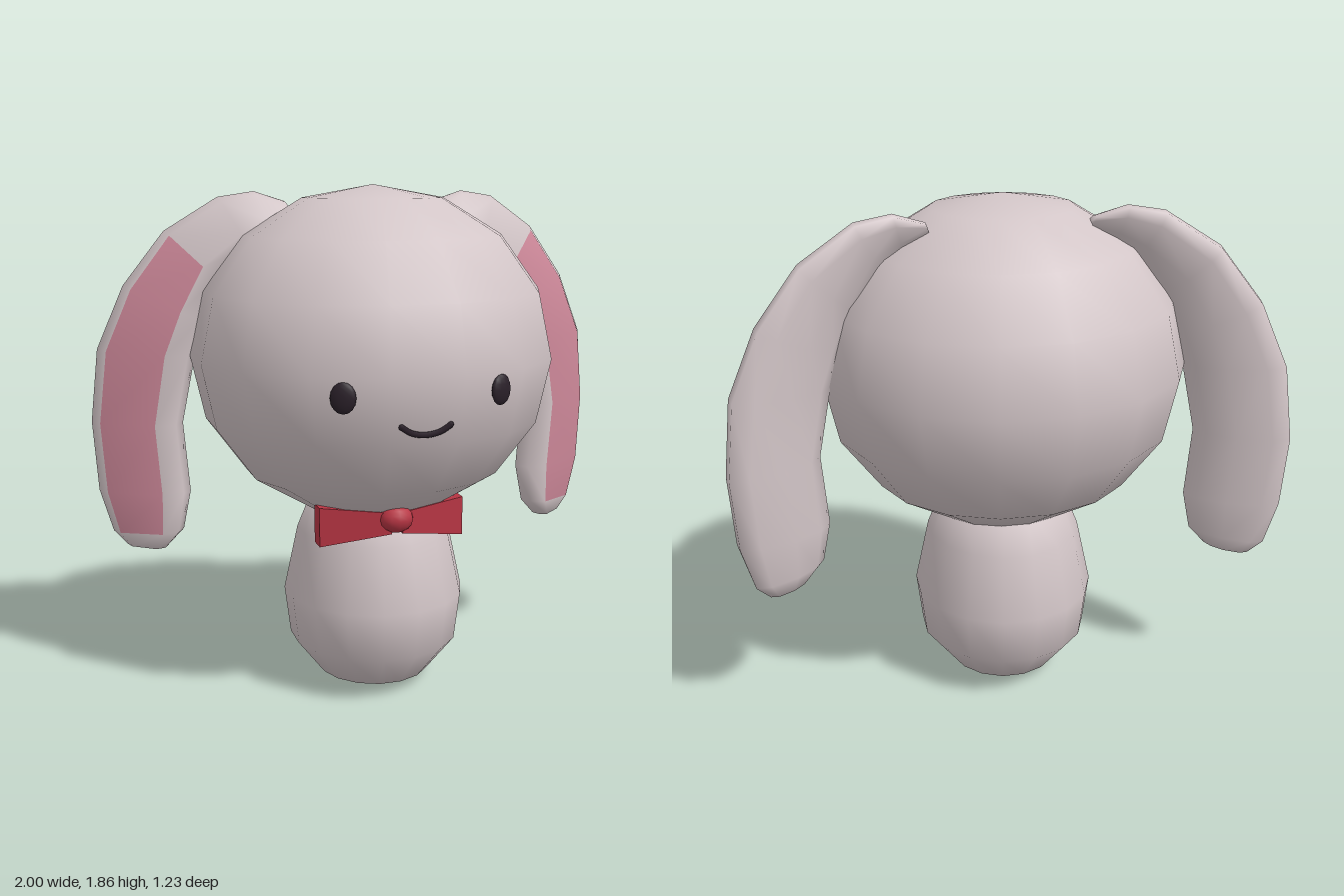
import * as THREE from 'three';

const mat = (name, color) => {
  const m = new THREE.MeshStandardMaterial({ color });
  m.name = name;
  return m;
};

// Ear: one cross-section (u across from inner to outer edge, w front/back)
// swept through rows of [outerX, outerY, innerX, innerY, zCentre, zHalf].
const EAR_SECTION = [
  [-1, 0.5], [-0.8, 0.92], [-0.31, 1], [0.84, -0.03], [1, -0.5],
  [0.93, -0.95], [0.5, -1], [-0.25, -0.6], [-0.8, 0],
];
const EAR_ROWS = [
  [0.29, 1.8, 0.27, 1.74, -0.13, 0.05],
  [0.4, 1.835, 0.36, 1.68, -0.13, 0.07],
  [0.53, 1.815, 0.43, 1.62, -0.14, 0.08],
  [0.72, 1.695, 0.54, 1.51, -0.18, 0.09],
  [0.87, 1.5, 0.59, 1.37, -0.2, 0.107],
  [0.97, 1.27, 0.63, 1.25, -0.217, 0.113],
  [1.0, 1.0, 0.68, 1.0, -0.232, 0.117],
  [0.985, 0.74, 0.66, 0.74, -0.226, 0.112],
  [0.94, 0.58, 0.69, 0.595, -0.222, 0.1],
  [0.89, 0.525, 0.75, 0.53, -0.22, 0.07],
];
const PINK_SIDE = 2, PINK_FROM = 3, PINK_TO = 8;

function earGeometry(side) {
  const n = EAR_SECTION.length, rows = EAR_ROWS.length;
  const pos = [], fur = [], pink = [];
  for (const [ox, oy, ix, iy, zc, zh] of EAR_ROWS) {
    for (const [u, w] of EAR_SECTION) {
      const t = (u + 1) / 2;
      pos.push(side * (ix + (ox - ix) * t), iy + (oy - iy) * t, zc + zh * w);
    }
  }
  const tri = (list, a, b, c) => (side > 0 ? list.push(a, b, c) : list.push(a, c, b));
  for (let i = 0; i < rows - 1; i++) {
    for (let j = 0; j < n; j++) {
      const list = j === PINK_SIDE && i >= PINK_FROM && i < PINK_TO ? pink : fur;
      const k = (j + 1) % n;
      const a = i * n + j, b = i * n + k, c = b + n, d = a + n;
      tri(list, a, d, c);
      tri(list, a, c, b);
    }
  }
  // end caps as fans
  for (const [row, flip] of [[0, false], [rows - 1, true]]) {
    const [ox, oy, ix, iy, zc] = EAR_ROWS[row];
    const centre = pos.length / 3;
    pos.push(side * (ox + ix) / 2, (oy + iy) / 2 - (flip ? 0.01 : 0), zc);
    for (let j = 0; j < n; j++) {
      const a = row * n + j, b = row * n + ((j + 1) % n);
      if (flip) tri(fur, centre, b, a);
      else tri(fur, centre, a, b);
    }
  }
  const g = new THREE.BufferGeometry();
  g.setAttribute('position', new THREE.Float32BufferAttribute(pos, 3));
  g.setIndex([...fur, ...pink]);
  g.addGroup(0, fur.length, 0);
  g.addGroup(fur.length, pink.length, 1);
  g.computeVertexNormals();
  return g;
}

// Bow wing: a box flaring outwards and curving back around the neck.
function bowWingGeometry(side) {
  const g = new THREE.BoxGeometry(1, 1, 1, 3, 1, 1);
  const p = g.attributes.position;
  const mix = THREE.MathUtils.lerp;
  for (let i = 0; i < p.count; i++) {
    const t = 0.5 + side * p.getX(i);
    const y = p.getY(i) > 0 ? mix(0.722, 0.745, t) : mix(0.645, 0.602, t);
    const z = p.getZ(i) > 0 ? mix(0.295, 0.235, t) : mix(0.245, 0.165, t);
    p.setXYZ(i, side * mix(0.02, 0.27, t), y, z);
  }
  g.computeVertexNormals();
  return g;
}

export function createModel() {
  const model = new THREE.Group();
  model.name = 'plushRabbit';
  const fur = mat('fur', 0xd3c6c8);
  const pink = mat('innerEarPink', 0xcd8899);
  const red = mat('bowRed', 0xb73543);
  const dark = mat('faceDark', 0x2a2029);
  const add = (name, geometry, material) => {
    const m = new THREE.Mesh(geometry, material);
    m.name = name;
    model.add(m);
    return m;
  };

  // head
  const head = new THREE.SphereGeometry(1, 16, 8);
  head.rotateY(Math.PI / 16).scale(0.667, 0.605, 0.627).translate(0, 1.255, 0);
  add('head', head, fur);

  // pear-shaped body
  const profile = [[0, 0.003], [0.21, 0.045], [0.315, 0.18], [0.337, 0.36],
    [0.285, 0.6], [0.22, 0.76], [0, 0.82]].map(([r, y]) => new THREE.Vector2(r, y));
  const body = new THREE.LatheGeometry(profile, 16);
  body.rotateY(Math.PI / 16).scale(1, 1, 1.06);
  add('body', body, fur);

  // ears, eyes and bow wings in pairs
  for (const side of [1, -1]) {
    const label = side > 0 ? 'left' : 'right';
    add(label + 'Ear', earGeometry(side), [fur, pink]);

    const eye = add(label + 'Eye', new THREE.SphereGeometry(1, 10, 8), dark);
    eye.scale.set(0.043, 0.053, 0.016);
    eye.position.set(side * 0.273, 1.196, 0.556);
    eye.rotation.y = side * 0.38;

    add(label + 'BowWing', bowWingGeometry(side), red);
  }

  // bow knot
  const knot = add('bowKnot', new THREE.SphereGeometry(1, 12, 8), red);
  knot.scale.set(0.062, 0.05, 0.048);
  knot.position.set(0, 0.698, 0.283);

  // smile following the slope of the face
  const smile = [[-0.085, 1.095], [-0.05, 1.073], [0, 1.064], [0.05, 1.073], [0.085, 1.095]]
    .map(([x, y]) => new THREE.Vector3(x, y, 0.617 - 0.203 * (1.255 - y)));
  add('mouth', new THREE.TubeGeometry(new THREE.CatmullRomCurve3(smile), 12, 0.011, 6), dark);
  for (const end of [smile[0], smile[4]]) {
    add('mouthCorner', new THREE.SphereGeometry(0.011, 6, 4), dark).position.copy(end);
  }
  return model;
}
